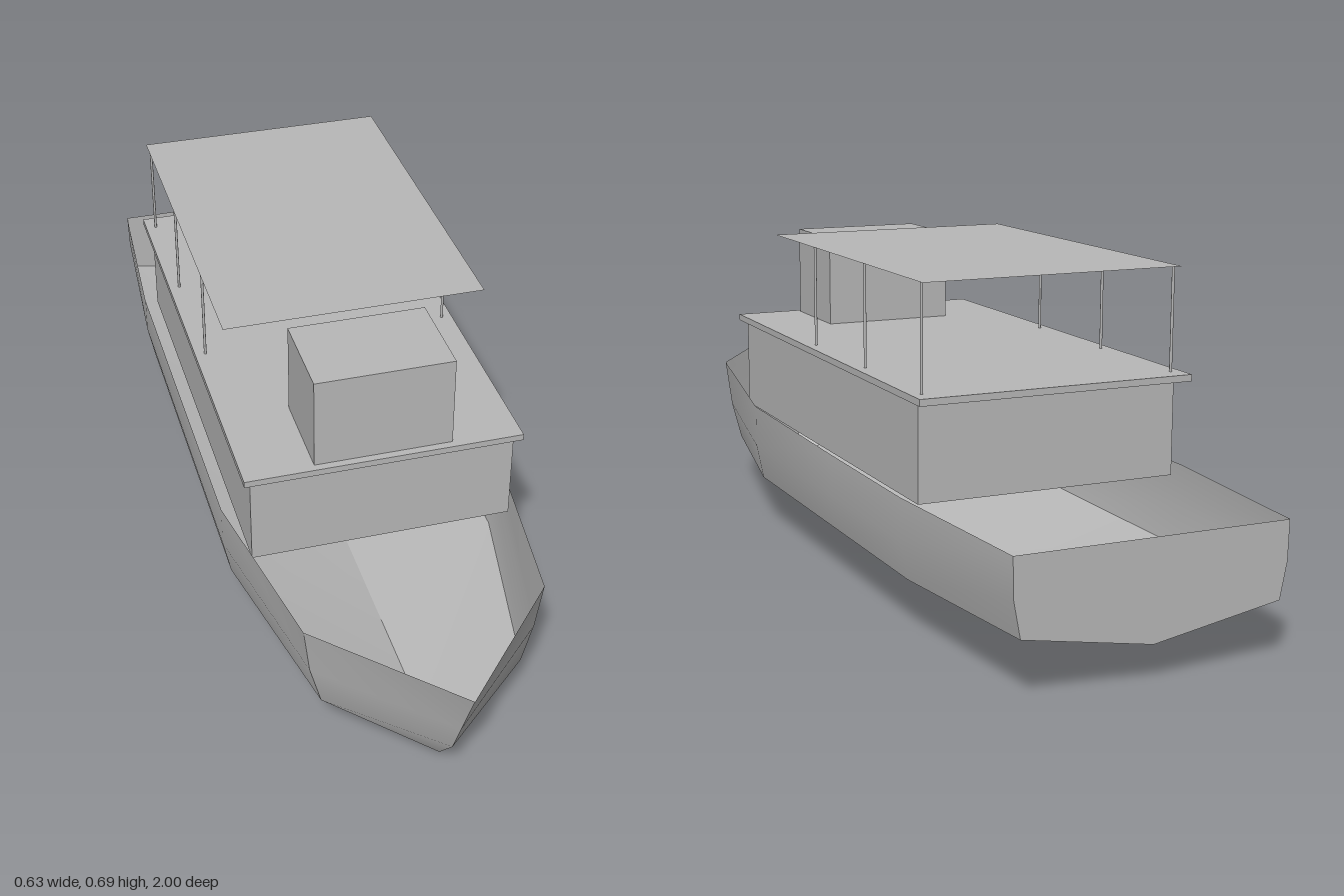
import * as THREE from 'three';
import { toCreasedNormals } from 'three/addons/utils/BufferGeometryUtils.js';

const grey = new THREE.MeshStandardMaterial({ color: 0xb8b8b8, side: THREE.DoubleSide });
grey.name = 'plain grey';

// Hull stations from bow to stern; each lists sheer, mid side, chine and keel on the +x side
const stations = [
  [[0, 0.333, 1], [0, 0.2, 0.94], [0, 0.112, 0.9], [0, 0.025, 0.83]],
  [[0.248, 0.308, 0.715], [0.235, 0.2, 0.71], [0.212, 0.111, 0.71], [0, 0.025, 0.71]],
  [[0.313, 0.283, 0.28], [0.313, 0.19, 0.28], [0.297, 0.111, 0.28], [0, 0.025, 0.28]],
  [[0.313, 0.278, -0.2], [0.313, 0.19, -0.2], [0.297, 0.111, -0.2], [0, 0.025, -0.2]],
  [[0.313, 0.277, -0.58], [0.313, 0.19, -0.58], [0.297, 0.111, -0.58], [0, 0.025, -0.59]],
  [[0.283, 0.275, -1], [0.281, 0.195, -1], [0.267, 0.122, -1], [0, 0.075, -1]],
];

function add(group, name, geometry, x = 0, y = 0, z = 0) {
  const mesh = new THREE.Mesh(geometry, grey);
  mesh.name = name;
  mesh.position.set(x, y, z);
  group.add(mesh);
  return mesh;
}

// Box given by its half width and its y and z ranges
function addBox(group, name, halfWidth, y0, y1, z0, z1) {
  const geometry = new THREE.BoxGeometry(2 * halfWidth, y1 - y0, z1 - z0);
  return add(group, name, geometry, 0, (y0 + y1) / 2, (z0 + z1) / 2);
}

// Open shell skinned over the stations and mirrored
function hullGeometry() {
  const positions = [];
  const indices = [];
  const rows = 4;
  for (const side of [1, -1]) {
    const base = positions.length / 3;
    for (const station of stations) {
      for (const [x, y, z] of station) positions.push(side * x, y, z);
    }
    for (let i = 0; i < stations.length - 1; i++) {
      for (let j = 0; j < rows - 1; j++) {
        const a = base + i * rows + j;
        const b = a + 1, c = a + rows, d = c + 1;
        if (side > 0) indices.push(a, b, c, b, d, c);
        else indices.push(a, c, b, b, c, d);
      }
    }
  }
  const geometry = new THREE.BufferGeometry();
  geometry.setAttribute('position', new THREE.Float32BufferAttribute(positions, 3));
  geometry.setIndex(indices);
  return toCreasedNormals(geometry, 0.5);
}

// Flat stern panel following the last station
function transomGeometry() {
  const half = stations[stations.length - 1];
  const outline = [
    ...half.map(([x, y]) => new THREE.Vector2(x, y)),
    ...half.slice(0, 3).reverse().map(([x, y]) => new THREE.Vector2(-x, y)),
  ];
  return new THREE.ShapeGeometry(new THREE.Shape(outline)).rotateY(Math.PI);
}

export function createModel() {
  const boat = new THREE.Group();
  boat.name = 'boat';

  // Hull
  add(boat, 'hull', hullGeometry());
  add(boat, 'transom', transomGeometry(), 0, 0, -1);

  // Thin keel plate on the centre line
  add(boat, 'keelPlate', new THREE.PlaneGeometry(0.855, 0.027).rotateY(Math.PI / 2), 0, 0.0135, -0.283);

  // Deckhouse, its roof and the wheelhouse
  addBox(boat, 'deckhouse', 0.281, 0.262, 0.463, -0.592, 0.424);
  addBox(boat, 'deckhouseRoof', 0.296, 0.463, 0.477, -0.635, 0.441);
  addBox(boat, 'wheelhouse', 0.147, 0.477, 0.677, 0.22, 0.424);

  // Canopy sheet on six posts
  add(boat, 'canopy', new THREE.PlaneGeometry(0.56, 0.825).rotateX(-Math.PI / 2), 0, 0.692, -0.2);
  for (const x of [-0.273, 0.273]) {
    for (const z of [-0.024, -0.308, -0.592]) {
      add(boat, 'canopyPost', new THREE.CylinderGeometry(0.003, 0.003, 0.215, 8), x, 0.5845, z);
    }
  }
  return boat;
}
